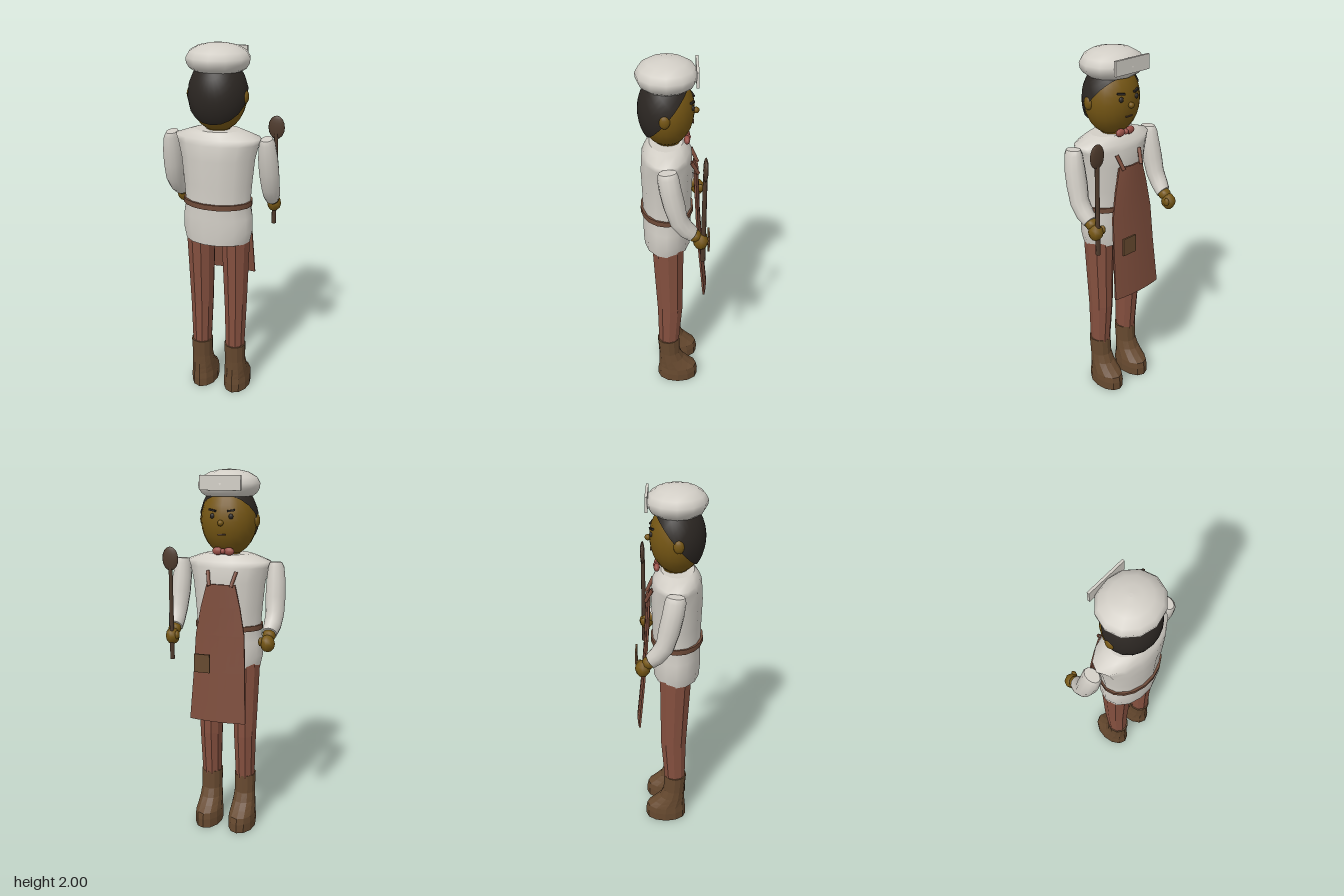
import * as THREE from 'three';

const COLORS = {
  cloth: 0xd2cec6, skin: 0x755614, hair: 0x2b2622, trousers: 0x85503f,
  apron: 0x7c4c3b, boot: 0x66492f, belt: 0x6e4a38, wood: 0x4e3a2c, tie: 0x9a5048,
};

const material = (color, flat = false, side = THREE.FrontSide) =>
  new THREE.MeshStandardMaterial({ color, flatShading: flat, side });

// Closed skin over elliptical rings, bottom to top: [x, y, z, rx, rz, tilt about x]
function loft(rings, segs) {
  const pos = [], idx = [];
  const addRing = ([x, y, z, rx, rz, tilt = 0]) => {
    for (let j = 0; j < segs; j++) {
      const a = (j / segs) * Math.PI * 2, d = rz * Math.sin(a);
      pos.push(x + rx * Math.cos(a), y - d * Math.sin(tilt), z + d * Math.cos(tilt));
    }
  };
  rings.forEach(addRing);
  for (let i = 0; i < rings.length - 1; i++)
    for (let j = 0; j < segs; j++) {
      const a = i * segs + j, b = i * segs + ((j + 1) % segs);
      idx.push(a, a + segs, b, b, a + segs, b + segs);
    }
  // end caps with their own vertices so the rims stay sharp
  [rings[0], rings[rings.length - 1]].forEach((ring, top) => {
    const start = pos.length / 3;
    addRing(ring);
    pos.push(ring[0], ring[1], ring[2]);
    for (let j = 0; j < segs; j++) {
      const a = start + j, b = start + ((j + 1) % segs);
      idx.push(start + segs, top ? b : a, top ? a : b);
    }
  });
  const g = new THREE.BufferGeometry();
  g.setAttribute('position', new THREE.Float32BufferAttribute(pos, 3));
  g.setIndex(idx);
  g.computeVertexNormals();
  return g;
}

export function createModel() {
  const model = new THREE.Group();
  model.name = 'cook';

  const add = (name, geometry, color, flat, side) => {
    const mesh = new THREE.Mesh(geometry, material(color, flat, side));
    mesh.name = name;
    model.add(mesh);
    return mesh;
  };
  const ball = (name, [x, y, z], [rx, ry, rz], color, w = 12, h = 8) =>
    add(name, new THREE.SphereGeometry(1, w, h).scale(rx, ry, rz).translate(x, y, z), color);
  const box = (name, [x, y, z], [w, h, d], color) =>
    add(name, new THREE.BoxGeometry(w, h, d).translate(x, y, z), color);
  const rod = (name, a, b, radius, color) => {
    const path = new THREE.LineCurve3(new THREE.Vector3(...a), new THREE.Vector3(...b));
    return add(name, new THREE.TubeGeometry(path, 1, radius, 8), color, false, THREE.DoubleSide);
  };

  // Jacket
  add('jacket', loft([
    [0, 0.955, 0.037, 0.18, 0.125],
    [0, 1.02, 0.037, 0.194, 0.13],
    [0, 1.10, 0.037, 0.194, 0.13],
    [0, 1.17, 0.037, 0.18, 0.13],
    [0, 1.28, 0.037, 0.188, 0.132],
    [0, 1.42, 0.037, 0.202, 0.137],
    [0, 1.50, 0.037, 0.222, 0.132],
    [0, 1.53, 0.037, 0.235, 0.118],
    [0, 1.555, 0.04, 0.165, 0.1],
    [0, 1.567, 0.04, 0.125, 0.088],
  ], 14), COLORS.cloth);
  add('belt', loft([
    [0, 1.162, 0.038, 0.19, 0.141], [0, 1.19, 0.038, 0.19, 0.141],
  ], 18), COLORS.belt);

  // Head and face, looking toward -z
  add('neck', new THREE.CylinderGeometry(0.06, 0.065, 0.12, 12).translate(0, 1.56, 0.03), COLORS.skin);
  ball('head', [0, 1.74, 0.035], [0.15, 0.186, 0.138], COLORS.skin, 20, 14);
  const hair = new THREE.SphereGeometry(1, 20, 10, 0, Math.PI * 2, 0, Math.PI / 2)
    .rotateX(0.76).scale(0.157, 0.194, 0.147).translate(0, 1.74, 0.035);
  add('hair', hair, COLORS.hair, false, THREE.DoubleSide);
  ball('nose', [0, 1.735, -0.11], [0.016, 0.016, 0.016], COLORS.skin);
  const mouth = box('mouth', [0, 0, 0], [0.04, 0.006, 0.008], COLORS.wood);
  mouth.position.set(0, 1.675, -0.095);
  for (const s of [-1, 1]) {
    const side = s > 0 ? 'left' : 'right';
    ball(side + 'Ear', [s * 0.148, 1.74, 0.045], [0.017, 0.035, 0.027], COLORS.skin);
    ball(side + 'Eye', [s * 0.05, 1.768, -0.091], [0.013, 0.014, 0.01], COLORS.hair);
    const brow = box(side + 'Brow', [0, 0, 0], [0.042, 0.009, 0.012], COLORS.hair);
    brow.position.set(s * 0.05, 1.797, -0.09);
    brow.rotation.set(0, s * -0.35, s * 0.15);
    ball(side + 'TieBow', [s * 0.032, 1.587, -0.066], [0.029, 0.021, 0.016], COLORS.tie);
  }
  ball('tieKnot', [0, 1.587, -0.07], [0.014, 0.015, 0.016], COLORS.tie);

  // Hat
  add('hat', loft([
    [0, 1.865, 0.035, 0.128, 0.117],
    [0, 1.88, 0.035, 0.15, 0.138],
    [0, 1.905, 0.035, 0.165, 0.152],
    [0, 1.93, 0.035, 0.168, 0.155],
    [0, 1.96, 0.035, 0.15, 0.138],
    [0, 1.985, 0.035, 0.105, 0.098],
    [0, 1.996, 0.035, 0.055, 0.05],
    [0, 2.0, 0.035, 0.01, 0.01],
  ], 12), COLORS.cloth);
  box('hatPlate', [0, 1.935, -0.112], [0.22, 0.075, 0.013], COLORS.cloth);

  // Arms and legs, mirrored
  for (const s of [-1, 1]) {
    const side = s > 0 ? 'left' : 'right';
    add(side + 'Sleeve', loft([
      [s * 0.264, 1.175, -0.095, 0.04, 0.04, 0.95],
      [s * 0.27, 1.21, -0.06, 0.047, 0.047, 0.85],
      [s * 0.272, 1.265, -0.022, 0.05, 0.05, 0.55],
      [s * 0.268, 1.35, 0.0, 0.054, 0.055, 0.25],
      [s * 0.265, 1.43, 0.018, 0.052, 0.055, 0.15],
      [s * 0.262, 1.505, 0.03, 0.042, 0.053, 0.1],
      [s * 0.26, 1.53, 0.032, 0.03, 0.045, 0.1],
    ], 12), COLORS.cloth);
    ball(side + 'Wrist', [s * 0.264, 1.165, -0.105], [0.036, 0.033, 0.035], COLORS.skin, 10, 7);
    ball(side + 'Hand', [s * 0.265, 1.13, -0.136], [0.04, 0.046, 0.04], COLORS.skin, 8, 6);
    ball(side + 'Thumb', [s * 0.232, 1.14, -0.152], [0.013, 0.024, 0.018], COLORS.skin, 8, 6);

    add(side + 'Trouser', loft([
      [s * 0.1, 0.28, 0.03, 0.055, 0.06],
      [s * 0.1, 0.55, 0.022, 0.064, 0.074],
      [s * 0.1, 0.98, 0.032, 0.08, 0.088],
    ], 10), COLORS.trousers, true);
    add(side + 'Boot', loft([
      [s * 0.1, 0, -0.023, 0.075, 0.118],
      [s * 0.1, 0.05, -0.023, 0.076, 0.118],
      [s * 0.1, 0.085, -0.022, 0.073, 0.112],
      [s * 0.1, 0.115, -0.004, 0.069, 0.092],
      [s * 0.1, 0.15, 0.014, 0.065, 0.073],
      [s * 0.1, 0.2, 0.026, 0.06, 0.062],
      [s * 0.1, 0.305, 0.033, 0.062, 0.064],
    ], 12), COLORS.boot, true);

    rod(side + 'ApronStrap', [s * 0.06, 1.41, -0.124], [s * 0.078, 1.485, -0.088], 0.01, COLORS.apron);
  }

  // Apron: a flared sheet, its edges bowed back toward the body
  const rows = [[1.42, 0.078, -0.121], [1.3, 0.108, -0.127], [1.15, 0.135, -0.135],
    [0.95, 0.143, -0.152], [0.68, 0.157, -0.18]];
  const sheet = new THREE.BoxGeometry(2, 1, 0.01, 6, rows.length - 1, 1);
  const p = sheet.attributes.position;
  for (let i = 0; i < p.count; i++) {
    const [y, half, z] = rows[Math.round((0.5 - p.getY(i)) * (rows.length - 1))];
    const u = p.getX(i);
    p.setXYZ(i, u * half, y, z + 0.015 * u * u + p.getZ(i));
  }
  sheet.computeVertexNormals();
  add('apron', sheet, COLORS.apron);
  box('apronPocket', [0.079, 1.005, -0.188], [0.087, 0.1, 0.01], COLORS.boot);

  // Spoon held in the left hand
  add('spoonHandle', new THREE.CylinderGeometry(0.011, 0.013, 0.52, 8).translate(0.263, 1.265, -0.15), COLORS.wood);
  ball('spoonBowl', [0.263, 1.548, -0.152], [0.045, 0.063, 0.013], COLORS.wood);

  return model;
}
